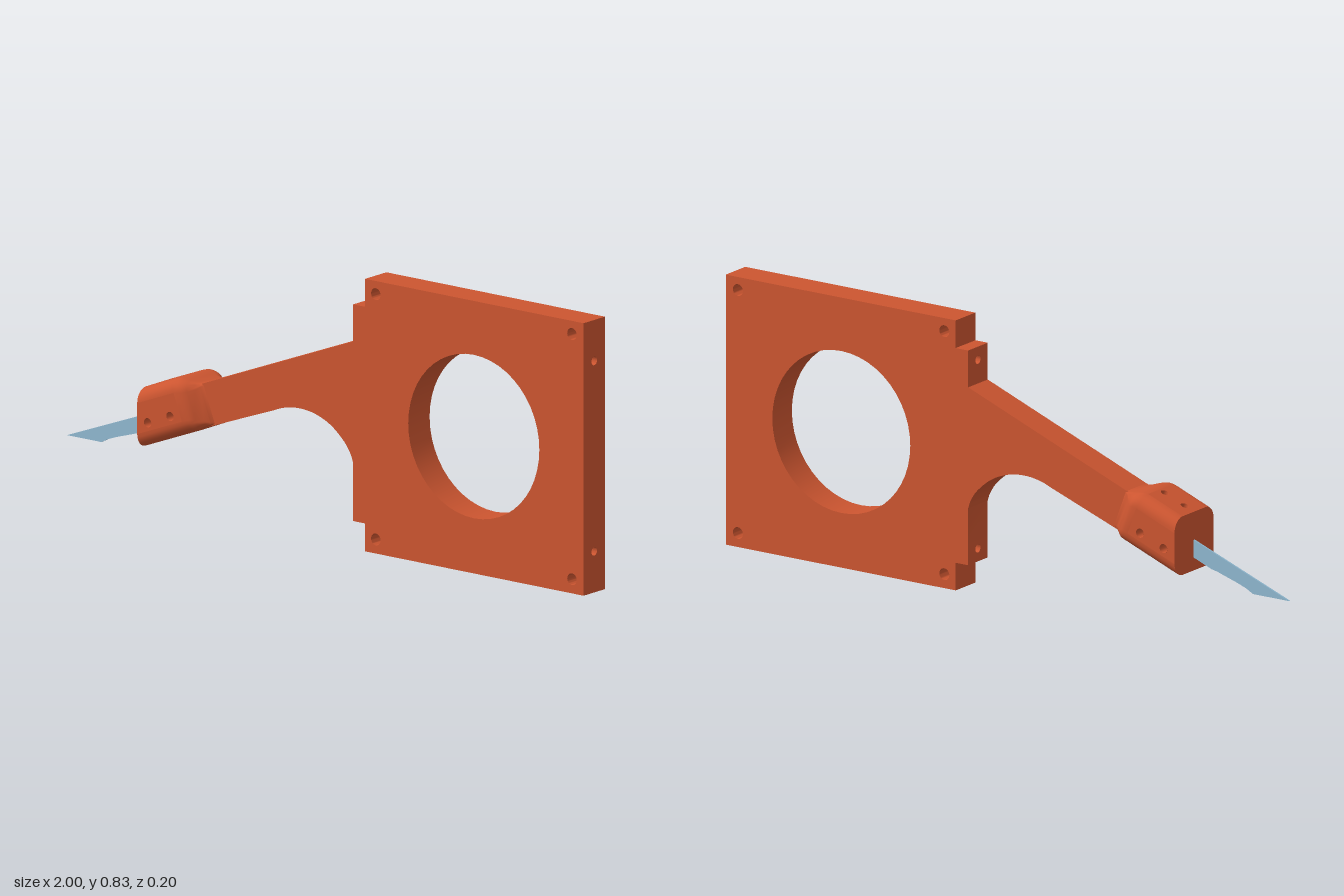
import * as THREE from 'three';
import { toCreasedNormals } from 'three/addons/utils/BufferGeometryUtils.js';

const orange = new THREE.MeshStandardMaterial({ color: 0xcc5530, side: THREE.DoubleSide });
const steel = new THREE.MeshStandardMaterial({ color: 0x8fb8d0, side: THREE.DoubleSide });
const TILT = THREE.MathUtils.degToRad(21.1);
const HALF = 0.05; // half thickness of plate and arm

const v2 = (p) => new THREE.Vector2(p[0], p[1]);

function outline(points, holes = []) {
  const shape = new THREE.Shape(points.map(v2));
  for (const [x, y, r] of holes) {
    shape.holes.push(new THREE.Path().absarc(x, y, r, 0, Math.PI * 2, true));
  }
  return shape;
}

function slab(shape, depth) {
  const geo = new THREE.ExtrudeGeometry(shape, { depth, bevelEnabled: false, curveSegments: 24 });
  return toCreasedNormals(geo.translate(0, 0, -depth / 2), 0.5);
}

function add(parent, name, geo, mat = orange) {
  const mesh = new THREE.Mesh(geo, mat);
  mesh.name = name;
  parent.add(mesh);
  return mesh;
}

// Square plate with its arm, split at the two long cross bores
function addPlate(group) {
  const middle = new THREE.Shape();
  middle.moveTo(0.125, 0.145);
  middle.lineTo(1, 0.145);
  middle.lineTo(1, 0.685);
  middle.lineTo(0.125, 0.685);
  middle.lineTo(0.125, 0.632);
  middle.lineTo(-0.49, 0.394);
  middle.lineTo(-0.47, 0.266);
  middle.lineTo(-0.18, 0.372);
  middle.splineThru([[-0.135, 0.388], [-0.08, 0.395], [-0.02, 0.388], [0.04, 0.363],
    [0.09, 0.322], [0.115, 0.287], [0.125, 0.26]].map(v2));
  middle.holes.push(new THREE.Path().absarc(0.583, 0.417, 0.249, 0, Math.PI * 2, true));
  add(group, 'plateAndArm', slab(middle, HALF * 2));

  add(group, 'plateTop', slab(outline(
    [[0.125, 0.725], [1, 0.725], [1, 0.83], [0.17, 0.83], [0.17, 0.745], [0.125, 0.745]],
    [[0.211, 0.79, 0.018], [0.956, 0.79, 0.018]]), HALF * 2));
  add(group, 'plateBottom', slab(outline(
    [[0.17, 0], [1, 0], [1, 0.105], [0.125, 0.105], [0.125, 0.085], [0.17, 0.085]],
    [[0.211, 0.043, 0.018], [0.956, 0.043, 0.018]]), HALF * 2));

  // Bands carrying the cross bores
  for (const y of [0.125, 0.705]) {
    const band = outline([[-HALF, -0.02], [HALF, -0.02], [HALF, 0.02], [-HALF, 0.02]], [[0, 0, 0.013]]);
    const mesh = add(group, 'boredBand', slab(band, 0.875));
    mesh.rotation.y = Math.PI / 2;
    mesh.position.set(0.5625, y, 0);
  }
}

// Blade holder, in a frame whose x runs along the arm
function addHolder(group) {
  const holder = new THREE.Group();
  holder.name = 'bladeHolder';
  holder.position.set(-0.655, 0.28, 0);
  holder.rotation.z = TILT;
  group.add(holder);

  const W = 0.1, TOP = 0.084, BOT = -0.084, R = 0.04, END = 0.165, N = 6;
  const cut = (v) => v * Math.tan(TILT); // front end is cut upright

  // Rounded sections: position, half width, top, corner radius
  const sections = [
    [0, W, TOP, R], [END, W, TOP, R], [0.18, W, 0.081, R], [0.192, 0.097, 0.075, 0.038],
    [0.205, 0.086, 0.066, 0.03], [0.22, 0.067, 0.055, 0.02], [0.232, 0.055, 0.049, 0.01],
    [0.245, 0.049, 0.046, 0.005],
  ];
  const pos = [], index = [], M = 4 * (N + 1);
  sections.forEach(([u, w, top, r], k) => {
    const bot = k < 4 ? BOT : -0.08;
    for (let c = 0; c < 4; c++) {
      const cy = c === 0 || c === 3 ? top - r : bot + r;
      const cz = c < 2 ? w - r : r - w;
      for (let i = 0; i <= N; i++) {
        const t = (c + i / N) * Math.PI / 2;
        const y = cy + r * Math.cos(t);
        pos.push(k ? u : cut(y), y, cz + r * Math.sin(t));
      }
    }
  });
  for (let k = 0; k < sections.length - 1; k++) {
    for (let j = 0; j < M; j++) {
      // leave the drilled flats open
      if (k === 0 && j % (N + 1) === N && j !== 2 * N + 1) continue;
      const a = k * M + j, b = k * M + (j + 1) % M;
      index.push(a, b, a + M, b, b + M, a + M);
    }
  }
  const centre = pos.length / 3;
  pos.push(0, 0, 0);
  for (let j = 0; j < M; j++) index.push(centre, (j + 1) % M, j);
  const geo = new THREE.BufferGeometry();
  geo.setAttribute('position', new THREE.Float32BufferAttribute(pos, 3));
  geo.setIndex(index);
  add(holder, 'holderShell', toCreasedNormals(geo, 0.6));

  // Drilled flat faces
  const lo = BOT + R, hi = TOP - R;
  const side = new THREE.ShapeGeometry(outline(
    [[cut(lo), lo], [END, lo], [END, hi], [cut(hi), hi]],
    [[0.035, -0.02, 0.014], [0.126, -0.02, 0.014]]), 16);
  for (const s of [1, -1]) add(holder, 'holderSide', side).position.z = s * W;
  const z = W - R;
  const lid = new THREE.ShapeGeometry(outline(
    [[cut(TOP), -z], [END, -z], [END, z], [cut(TOP), z]],
    [[0.068, 0, 0.013], [0.145, 0, 0.013]]), 16);
  const lidMesh = add(holder, 'holderTop', lid);
  lidMesh.rotation.x = -Math.PI / 2;
  lidMesh.position.y = TOP;

  // Screw hole walls
  for (const u of [0.035, 0.126]) {
    const bore = add(holder, 'sideBore', new THREE.CylinderGeometry(0.014, 0.014, W * 2, 24, 1, true));
    bore.rotation.x = Math.PI / 2;
    bore.position.set(u, -0.02, 0);
  }
  for (const u of [0.068, 0.145]) {
    const bore = add(holder, 'topBore', new THREE.CylinderGeometry(0.013, 0.013, TOP, 24, 1, true));
    bore.position.set(u, TOP / 2, 0);
    const floor = add(holder, 'topBoreFloor', new THREE.CircleGeometry(0.013, 24));
    floor.rotation.x = -Math.PI / 2;
    floor.position.set(u, 0.002, 0);
  }
}

export function createModel() {
  const group = new THREE.Group();
  group.name = 'bladeArm';
  addPlate(group);
  addHolder(group);

  // Thin knife blade, running back into the holder
  add(group, 'blade', slab(outline([[-1, 0.154], [-0.87, 0.154], [-0.845, 0.167], [-0.815, 0.178],
    [-0.74, 0.201], [-0.72, 0.205], [-0.655, 0.23], [-0.5, 0.289], [-0.5, 0.342], [-0.655, 0.284]]), 0.006), steel);
  return group;
}
